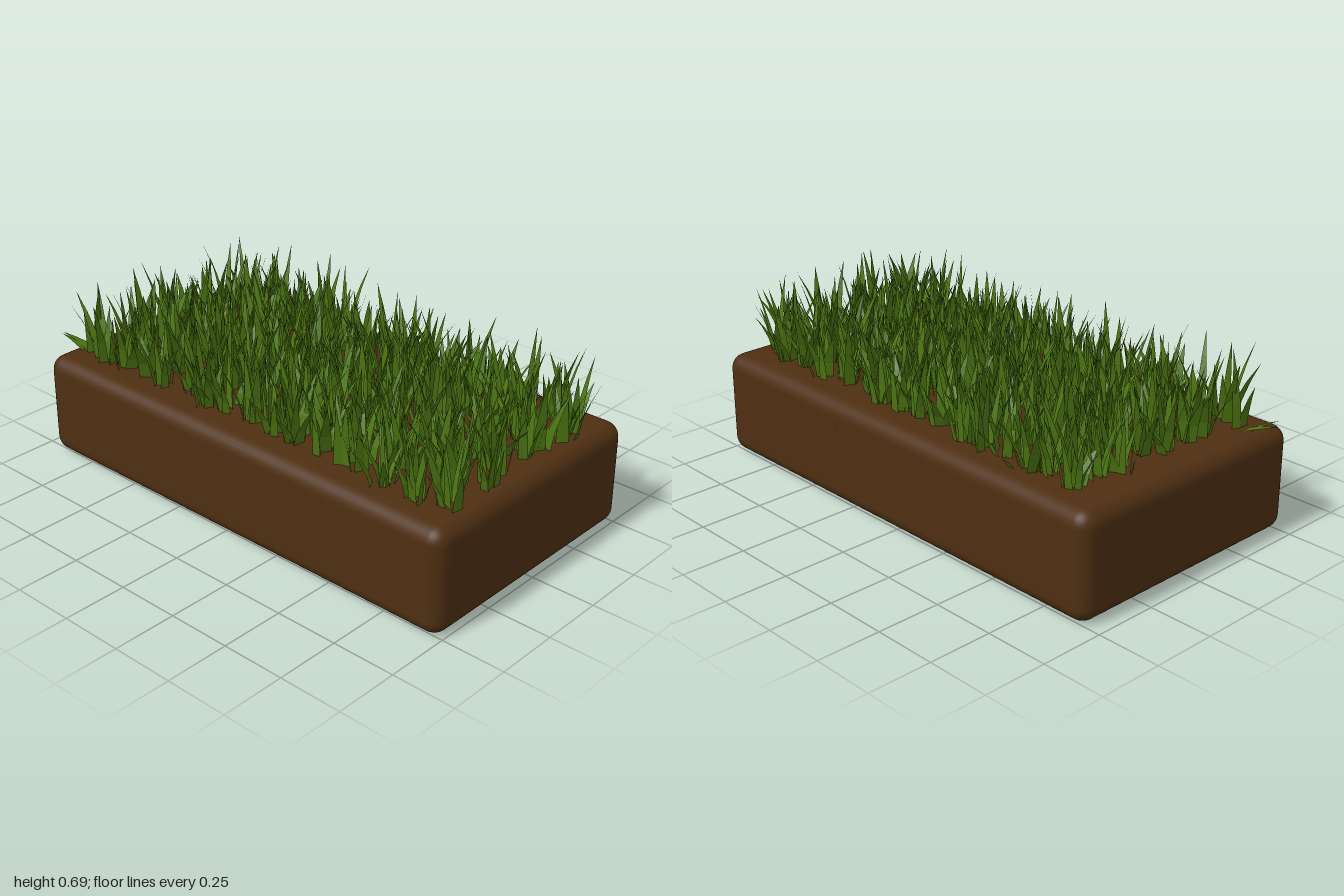
import * as THREE from 'three';
import { RoundedBoxGeometry } from 'three/addons/geometries/RoundedBoxGeometry.js';

// Small seeded generator so that every run gives the same lawn
function seeded(seed) {
  let s = seed;
  return () => {
    s = (s * 16807) % 2147483647;
    return s / 2147483647;
  };
}

// Adds one tapering ribbon: it rises by height, bends by reach towards lean and ends in a point
function addBlade(out, { x, y, z, height, reach, lean, width, twist = 0 }) {
  const steps = [0, 0.35, 0.7, 1];
  const taper = [1, 0.85, 0.45, 0];
  const side = lean + Math.PI / 2 + twist;
  const rows = steps.map((t, i) => {
    const d = reach * Math.pow(t, 1.5);
    const px = x + Math.cos(lean) * d;
    const py = y + height * t;
    const pz = z + Math.sin(lean) * d;
    const wx = Math.cos(side) * width * taper[i] / 2;
    const wz = Math.sin(side) * width * taper[i] / 2;
    return [[px - wx, py, pz - wz], [px + wx, py, pz + wz]];
  });
  for (let i = 0; i < 3; i++) {
    const [a, b] = rows[i];
    const [c, d] = rows[i + 1];
    out.push(...a, ...b, ...c);
    if (i < 2) out.push(...b, ...d, ...c);
  }
}

function bladeMesh(name, positions, material) {
  const geometry = new THREE.BufferGeometry();
  geometry.setAttribute('position', new THREE.Float32BufferAttribute(positions, 3));
  geometry.computeVertexNormals();
  const mesh = new THREE.Mesh(geometry, material);
  mesh.name = name;
  return mesh;
}

export function createModel() {
  const model = new THREE.Group();
  model.name = 'grassBlock';
  const random = seeded(4271);
  const range = (a, b) => a + (b - a) * random();

  // Rounded block of soil
  const soil = new THREE.Mesh(
    new RoundedBoxGeometry(1.055, 0.408, 1.95, 4, 0.06),
    new THREE.MeshStandardMaterial({ color: 0x4e2f12 })
  );
  soil.name = 'soilBlock';
  soil.position.set(-0.003, 0.204, 0.025);
  model.add(soil);

  const grassMaterial = new THREE.MeshStandardMaterial({
    color: 0x4c7412, side: THREE.DoubleSide, flatShading: true
  });
  const ground = 0.4;

  // Tufts on a loose grid, each a ring of blades leaning outwards
  const lawn = [];
  const columns = 8;
  const rows = 16;
  for (let c = 0; c < columns; c++) {
    for (let r = 0; r < rows; r++) {
      const tx = -0.37 + 0.74 * c / (columns - 1) + range(-0.03, 0.03);
      const tz = -0.77 + 1.65 * r / (rows - 1) + range(-0.035, 0.035);
      const turn = range(0, Math.PI * 2);
      for (let k = 0; k < 8; k++) {
        const lean = turn + k * Math.PI / 4 + range(-0.4, 0.4);
        const spread = range(0.005, 0.045);
        addBlade(lawn, {
          x: tx + Math.cos(lean) * spread,
          y: ground,
          z: tz + Math.sin(lean) * spread,
          height: range(0.13, 0.29),
          reach: range(0.01, 0.11),
          lean,
          width: range(0.025, 0.05),
          twist: range(-0.7, 0.7)
        });
      }
    }
  }
  model.add(bladeMesh('grassLawn', lawn, grassMaterial));

  // A few stray blades at the back edge and over the left side
  const strays = [];
  [
    { x: -0.37, z: -0.86, height: 0.05, reach: 0.14, lean: -1.8, width: 0.05 },
    { x: -0.39, z: -0.88, height: 0.06, reach: 0.1, lean: -1.95, width: 0.04 },
    { x: -0.36, z: -0.84, height: 0.29, reach: 0.05, lean: 1.9, width: 0.04 },
    { x: -0.39, z: -0.84, height: 0.18, reach: 0.06, lean: -1.3, width: 0.04 },
    { x: 0.43, z: 0.3, height: -0.08, reach: 0.1, lean: 0, width: 0.03 },
    { x: 0.43, z: -0.52, height: 0.07, reach: 0.07, lean: 0.1, width: 0.04 }
  ].forEach((blade) => addBlade(strays, { y: ground, ...blade }));
  model.add(bladeMesh('strayBlades', strays, grassMaterial));

  return model;
}
